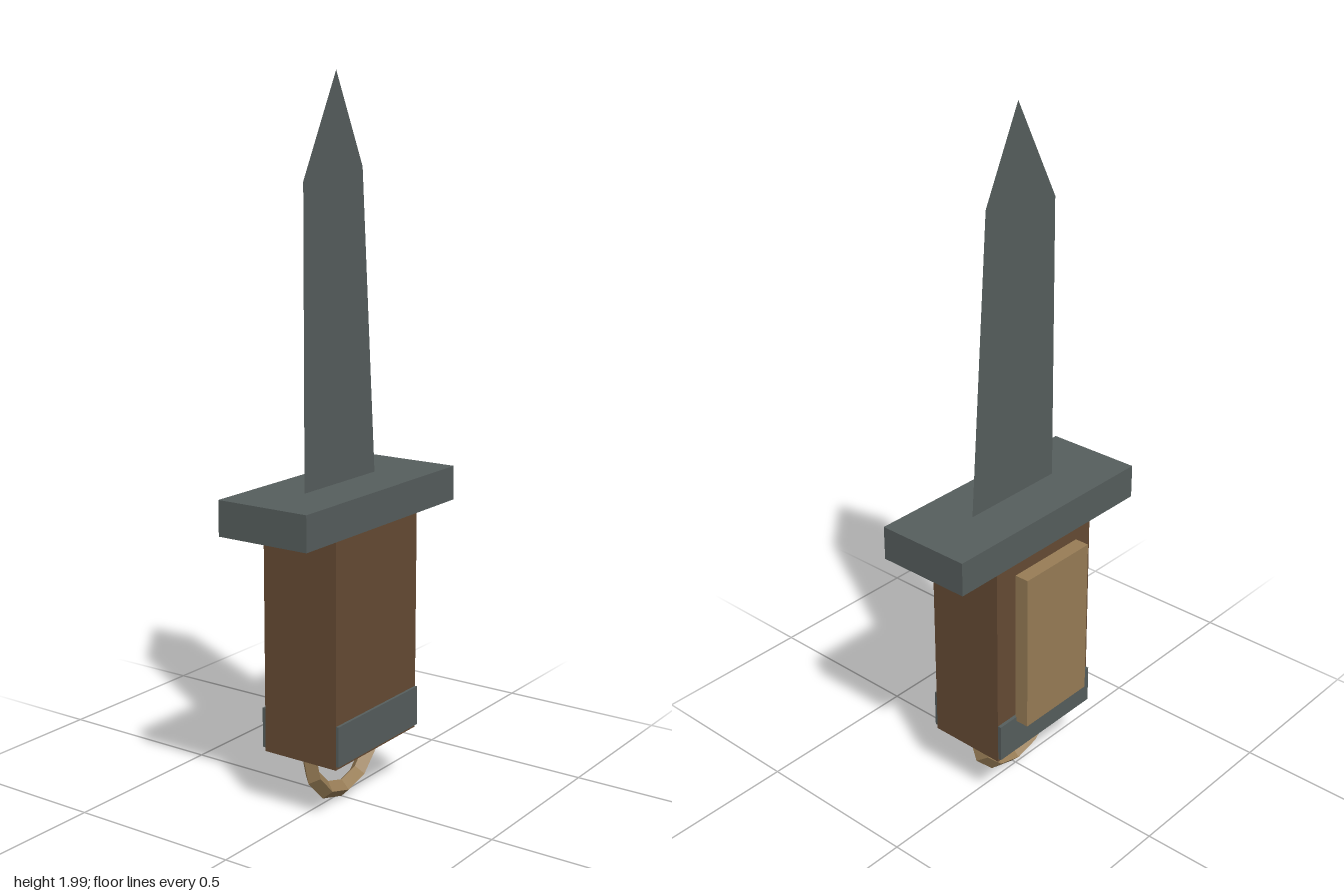
import * as THREE from 'three';

const material = (name, color, side = THREE.FrontSide) => {
  const m = new THREE.MeshStandardMaterial({ color, side, flatShading: true });
  m.name = name;
  return m;
};

export function createModel() {
  const steel = material('steel grey', 0x565e5d, THREE.DoubleSide);
  const leather = material('leather brown', 0x664b34);
  const tan = material('tan', 0x987d56);
  const midZ = 0.012;
  const model = new THREE.Group();
  model.name = 'dagger';

  const add = (name, geometry, mat, x, y, z) => {
    const mesh = new THREE.Mesh(geometry, mat);
    mesh.name = name;
    mesh.position.set(x, y, z);
    model.add(mesh);
    return mesh;
  };

  // Box given by its full width and its y and z ranges, centred on x = 0
  const box = (name, mat, width, y0, y1, z0, z1) =>
    add(name, new THREE.BoxGeometry(width, y1 - y0, z1 - z0), mat, 0, (y0 + y1) / 2, (z0 + z1) / 2);

  // Paper-thin blade with one straight edge and one tapering edge
  const outline = [[-0.168, 0.9], [0.161, 0.9], [0.097, 1.752], [-0.024, 2], [-0.168, 1.722]];
  const shape = new THREE.Shape(outline.map(([x, y]) => new THREE.Vector2(x, y)));
  add('blade', new THREE.ShapeGeometry(shape), steel, 0, 0, midZ);

  // Hilt
  box('guard', steel, 0.704, 0.815, 0.913, -0.129, 0.153);
  box('grip', leather, 0.388, 0.177, 0.82, -0.105, 0.131);
  box('pommelBand', steel, 0.386, 0.187, 0.3, -0.115, 0.139);
  box('backPlate', tan, 0.254, 0.287, 0.766, -0.155, -0.112);

  // Faceted lanyard loop under the pommel, diamond in section
  const loop = add('lanyardLoop', new THREE.TorusGeometry(0.156, 0.025, 4, 6, Math.PI), tan, 0, 0.187, midZ + 0.001);
  loop.rotation.z = Math.PI;

  return model;
}
